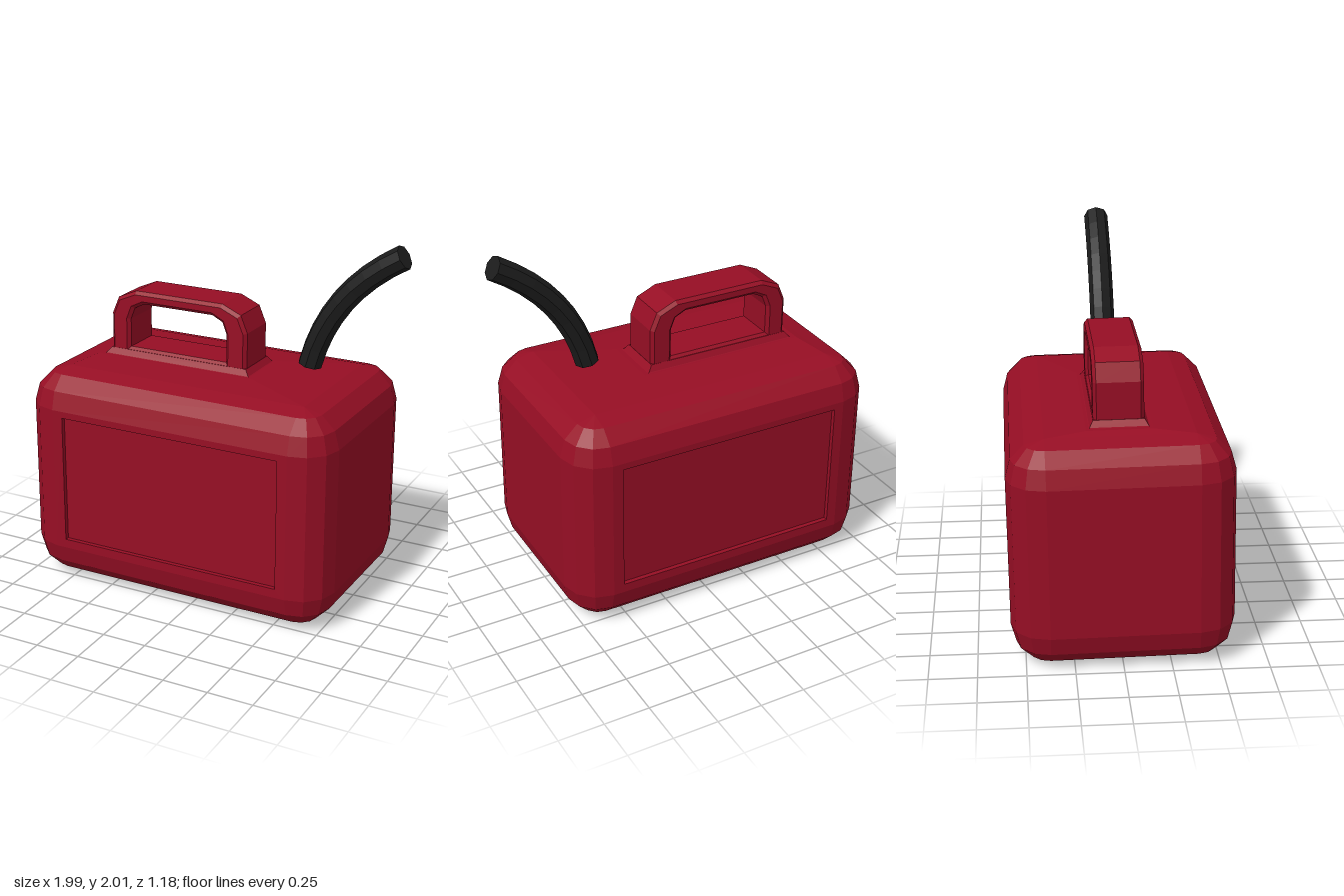
import * as THREE from 'three';

const red = new THREE.MeshStandardMaterial({ color: 0x960e24 });
red.name = 'red plastic';
const black = new THREE.MeshStandardMaterial({ color: 0x1c1c1c });
black.name = 'black rubber';

// Skins a stack of equal-length rings, closes both ends, and can leave out chosen quads
function loft(rings, skip = () => false) {
  const n = rings[0].length;
  const pos = [];
  const tri = (a, b, c) => {
    const area = b.clone().sub(a).cross(c.clone().sub(a)).length();
    if (area > 1e-8) pos.push(...a, ...b, ...c);
  };
  for (let i = 0; i < rings.length - 1; i++) {
    for (let j = 0; j < n; j++) {
      if (skip(i, j)) continue;
      const k = (j + 1) % n;
      tri(rings[i][j], rings[i + 1][j], rings[i][k]);
      tri(rings[i][k], rings[i + 1][j], rings[i + 1][k]);
    }
  }
  const lo = rings[0], hi = rings[rings.length - 1];
  for (let j = 1; j < n - 1; j++) {
    tri(lo[0], lo[j], lo[j + 1]);
    tri(hi[0], hi[j + 1], hi[j]);
  }
  const g = new THREE.BufferGeometry();
  g.setAttribute('position', new THREE.Float32BufferAttribute(pos, 3));
  g.computeVertexNormals();
  return g;
}

// Horizontal rectangle with rounded corners: hx, hz locate the corner centres
function roundedRing(cx, y, hx, hz, r) {
  const pts = [];
  const sx = [1, -1, -1, 1], sz = [1, 1, -1, -1];
  for (let k = 0; k < 4; k++) {
    for (let s = 0; s <= 3; s++) {
      const a = (k + s / 3) * Math.PI / 2;
      pts.push(new THREE.Vector3(cx + sx[k] * hx + r * Math.cos(a), y, sz[k] * hz + r * Math.sin(a)));
    }
  }
  return pts;
}

function rectPath(PathType, x0, y0, x1, y1) {
  return new PathType([[x0, y0], [x1, y0], [x1, y1], [x0, y1]].map(p => new THREE.Vector2(...p)));
}

function part(name, geometry, material) {
  const m = new THREE.Mesh(geometry, material);
  m.name = name;
  return m;
}

export function createModel() {
  const model = new THREE.Group();
  model.name = 'fuelCan';
  const can = new THREE.Group();
  can.name = 'can';
  can.rotation.x = -0.015; // slight lean
  can.position.set(0, 0.005, 0.009);
  model.add(can);

  // Body: rounded box with a gently raised top
  const R = 0.2, CX = -0.1, HX = 0.7, HZ = 0.382, TOP = 1.207;
  const rings = [];
  for (let s = 0; s <= 3; s++) {
    const a = s * Math.PI / 6;
    rings.push(roundedRing(CX, R - R * Math.cos(a), HX, HZ, R * Math.sin(a)));
  }
  for (let s = 0; s <= 3; s++) {
    const a = s * Math.PI / 6;
    rings.push(roundedRing(CX, TOP - R + R * Math.sin(a), HX, HZ, s === 3 ? 0 : R * Math.cos(a)));
  }
  rings.push(roundedRing(-0.275, 1.222, 0.475, 0.17, 0));
  // the flat front and back walls are left open for the recessed panels
  can.add(part('body', loft(rings, (i, j) => i === 3 && (j === 3 || j === 11)), red));

  // Front and back walls with a recessed panel
  const depth = 0.025;
  const wall = rectPath(THREE.Shape, -HX, R, HX, TOP - R);
  wall.holes.push(rectPath(THREE.Path, -0.64, 0.25, 0.645, 0.97));
  const wallGeo = new THREE.ExtrudeGeometry(wall, { depth, bevelEnabled: false });
  const panelGeo = new THREE.PlaneGeometry(1.3, 0.74);
  for (const [side, turn] of [['front', 0], ['back', Math.PI]]) {
    const g = new THREE.Group();
    g.name = side + 'Wall';
    const frame = part(side + 'Frame', wallGeo, red);
    frame.position.z = HZ + R - depth;
    const panel = part(side + 'Panel', panelGeo, red);
    panel.position.set(0, 0.61, HZ + R - depth);
    g.add(frame, panel);
    g.position.x = CX;
    g.rotation.y = turn;
    can.add(g);
  }

  // Handle: bevelled arch with a chamfered opening
  const v = list => list.map(p => new THREE.Vector2(...p));
  const arch = new THREE.Shape(v([
    [-0.69, 1.2], [0.14, 1.2], [0.14, 1.45], [0.1, 1.545], [-0.01, 1.593],
    [-0.54, 1.593], [-0.65, 1.545], [-0.69, 1.45]]));
  arch.holes.push(new THREE.Path(v([
    [-0.575, 1.27], [-0.575, 1.43], [-0.55, 1.493], [-0.49, 1.523],
    [-0.07, 1.523], [-0.01, 1.493], [0.015, 1.43], [0.015, 1.27]])));
  const b = 0.018;
  const archGeo = new THREE.ExtrudeGeometry(arch, {
    depth: 0.26 - 2 * b, bevelEnabled: true, bevelSize: b, bevelThickness: b,
    bevelOffset: -b, bevelSegments: 1 });
  archGeo.translate(0, 0, b - 0.13);
  can.add(part('handle', archGeo, red));

  // Flared foot blending the handle into the top
  can.add(part('handleFoot', loft([
    roundedRing(-0.275, 1.212, 0.475, 0.17, 0),
    roundedRing(-0.275, 1.224, 0.44, 0.15, 0),
    roundedRing(-0.275, 1.255, 0.416, 0.131, 0)]), red));

  // Spout: curved eight-sided hose
  const curve = new THREE.QuadraticBezierCurve3(
    new THREE.Vector3(0.458, 1.3, 0), new THREE.Vector3(0.561, 1.718, 0), new THREE.Vector3(0.96, 1.945, 0));
  const hose = [];
  for (let i = 0; i <= 8; i++) {
    const p = curve.getPoint(i / 8), t = curve.getTangent(i / 8);
    const ring = [];
    for (let j = 0; j < 8; j++) {
      const a = j * Math.PI / 4, c = 0.066 * Math.cos(a);
      ring.push(new THREE.Vector3(p.x + t.y * c, p.y - t.x * c, 0.068 * Math.sin(a)));
    }
    hose.push(ring);
  }
  can.add(part('spout', loft(hose), black));

  return model;
}
